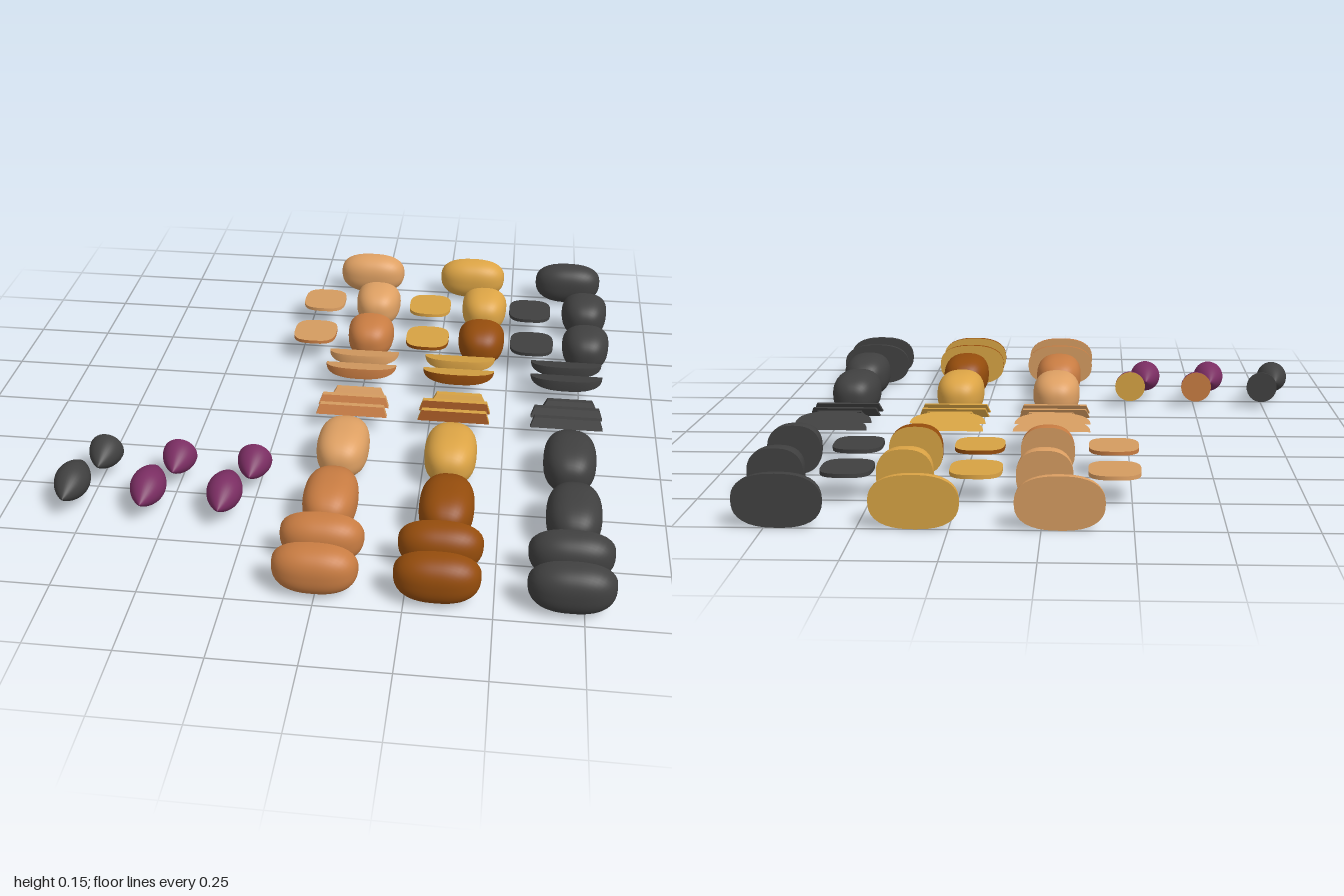
import * as THREE from 'three';

const mat = (name, color, side = THREE.FrontSide) => {
  const m = new THREE.MeshStandardMaterial({ color, side });
  m.name = name;
  return m;
};

// Pushes a unit-sphere surface out to a soft boxy blob with the given radii.
function bulge(geo, [rx, ry, rz], n = 2.5, smooth = true) {
  const p = geo.attributes.position, nor = geo.attributes.normal;
  const v = new THREE.Vector3(), g = new THREE.Vector3();
  const pw = (a) => Math.sign(a) * Math.abs(a) ** (n - 1);
  for (let i = 0; i < p.count; i++) {
    v.fromBufferAttribute(p, i);
    const len = (Math.abs(v.x) ** n + Math.abs(v.y) ** n + Math.abs(v.z) ** n) ** (1 / n);
    if (len > 1e-6) v.multiplyScalar(v.length() / len);
    p.setXYZ(i, v.x * rx, v.y * ry, v.z * rz);
    if (smooth) {
      g.set(pw(v.x) / rx, pw(v.y) / ry, pw(v.z) / rz).normalize();
      nor.setXYZ(i, g.x, g.y, g.z);
    }
  }
  if (!smooth) geo.computeVertexNormals();
  return geo;
}

export function createModel() {
  const root = new THREE.Group();
  root.name = 'choppedVegetables';

  const D = THREE.DoubleSide;
  const charred = mat('charred', 0x404040, D);
  const plum = mat('plumSkin', 0x7a2d62);
  const kinds = [
    { raw: mat('tanSkin', 0xdea063), cooked: mat('orangeSkin', 0xc87c42), flesh: mat('tanFlesh', 0xd49b60, D) },
    { raw: mat('goldSkin', 0xdca445), cooked: mat('brownSkin', 0x944c0c), flesh: mat('goldFlesh', 0xd6a243, D) },
    { raw: charred, cooked: charred, flesh: charred },
  ];

  const H = 0.076, Y = 0.079;
  const along = [0.082, H, 0.123], across = [0.123, H, 0.079];

  const group = (name, x, y, z) => {
    const g = new THREE.Group();
    g.name = name;
    g.position.set(x, y, z);
    root.add(g);
    return g;
  };
  const add = (g, name, geo, m) => {
    const mesh = new THREE.Mesh(geo, m);
    mesh.name = name;
    g.add(mesh);
    return mesh;
  };

  // Whole vegetable
  function whole(x, z, skin) {
    add(group('wholeVegetable', x, Y, z), 'skin',
      bulge(new THREE.SphereGeometry(1, 40, 28).rotateX(Math.PI / 2), along), skin);
  }

  // Half with the cut face to the back
  function half(x, z, radii, skin, flesh) {
    const g = group('halfVegetable', x, Y, z);
    add(g, 'skin', bulge(new THREE.SphereGeometry(1, 40, 16, 0, Math.PI * 2, 0, Math.PI / 2)
      .rotateX(Math.PI / 2), radii), skin);
    add(g, 'cutFace', bulge(new THREE.CircleGeometry(1, 40).rotateY(Math.PI), radii, 2.5, false), flesh);
  }

  // Thin slice lying flat
  function slice(x, z, skin, flesh) {
    const g = group('slice', x, 0.087, z);
    const s = 0.012;
    const geo = new THREE.CylinderGeometry(1, 1, s, 40);
    const p = geo.attributes.position;
    for (let i = 0; i < p.count; i++) {
      const a = p.getX(i), b = p.getZ(i);
      const len = (Math.abs(a) ** 3.2 + Math.abs(b) ** 3.2) ** (1 / 3.2);
      const k = len > 1e-6 ? Math.hypot(a, b) / len : 1;
      p.setXYZ(i, a * k * 0.076, p.getY(i), b * k * 0.08);
    }
    add(g, 'disc', geo, [skin, flesh, flesh]);
  }

  // Wedge with its sharp edge to the back
  function wedge(x, z, skin, flesh) {
    const g = group('wedge', x, 0.096, z);
    const a = 0.24, r = [0.122, 0.079, 0.079];
    add(g, 'skin', bulge(new THREE.SphereGeometry(1, 6, 28, Math.PI / 2 - a, a * 2)
      .rotateZ(Math.PI / 2), r), skin);
    for (const s of [-1, 1]) {
      add(g, 'cutFace', bulge(new THREE.CircleGeometry(1, 28, 0, Math.PI)
        .rotateX(Math.PI / 2 + s * a), r, 2.5, false), flesh);
    }
  }

  // Slanted stick, skin on its front face
  function stick(x, z, len, taper, skin, flesh) {
    const geo = new THREE.BoxGeometry(len, 0.03, 0.018);
    const p = geo.attributes.position;
    for (let i = 0; i < p.count; i++) {
      const y = p.getY(i);
      if (y > 0) p.setX(i, p.getX(i) * taper);
      p.setZ(i, p.getZ(i) - y * 0.5);
    }
    geo.computeVertexNormals();
    add(group('stick', x, 0.078, z), 'stickBody', geo, [flesh, flesh, flesh, flesh, skin, flesh]);
  }

  // Column positions for each row of cuts
  const X = {
    longBack: [-0.05, 0.343, 0.713], sliceRaw: [-0.2, 0.198, 0.57], sliceCooked: [-0.2, 0.207, 0.58],
    cross: [0, 0.4, 0.772], mid: [-0.005, 0.333, 0.702],
    wholeRaw: [-0.003, 0.338, 0.71], wholeCooked: [-0.003, 0.345, 0.72], longFront: [-0.003, 0.34, 0.712],
  };
  kinds.forEach(({ raw, cooked, flesh }, i) => {
    half(X.longBack[i], -1, across, raw, flesh);
    slice(X.sliceRaw[i], -0.708, raw, flesh);
    half(X.cross[i], -0.748, along, raw, flesh);
    slice(X.sliceCooked[i], -0.45, cooked, flesh);
    half(X.cross[i], -0.49, along, cooked, flesh);
    wedge(X.mid[i], -0.315, raw, flesh);
    wedge(X.mid[i], -0.22, cooked, flesh);
    stick(X.mid[i] + 0.01, -0.048, 0.185, 0.8, raw, flesh);
    stick(X.mid[i], 0.001, 0.235, 0.9, cooked, flesh);
    stick(X.mid[i], 0.064, 0.235, 0.9, cooked, flesh);
    whole(X.wholeRaw[i], 0.293, raw);
    whole(X.wholeCooked[i], 0.588, cooked);
    half(X.longFront[i], 0.765, across, cooked, flesh);
    half(X.longFront[i], 0.912, across, cooked, flesh);
  });

  // Small pointed fruits, whole and halved
  const spindle = (from) => {
    const pts = [];
    for (let i = 0; i <= 20; i++) {
      const t = from + (1 - from) * i / 20;
      pts.push(new THREE.Vector2(0.054 * Math.max(0, Math.cos(t * Math.PI / 2)) ** 0.9, t * 0.108));
    }
    return new THREE.LatheGeometry(pts, 32).rotateX(Math.PI / 2);
  };
  [[-0.8, -0.743, charred, charred], [-0.563, -0.506, plum, kinds[0].cooked], [-0.327, -0.267, plum, kinds[1].flesh]]
    .forEach(([xw, xh, skin, flesh]) => {
      add(group('smallFruit', xw, 0.08, 0.586), 'skin', spindle(-1), skin);
      const g = group('halfSmallFruit', xh, 0.08, 0.4);
      add(g, 'skin', spindle(0), skin);
      add(g, 'cutFace', new THREE.CircleGeometry(0.054, 32).rotateY(Math.PI), flesh);
    });

  return root;
}
